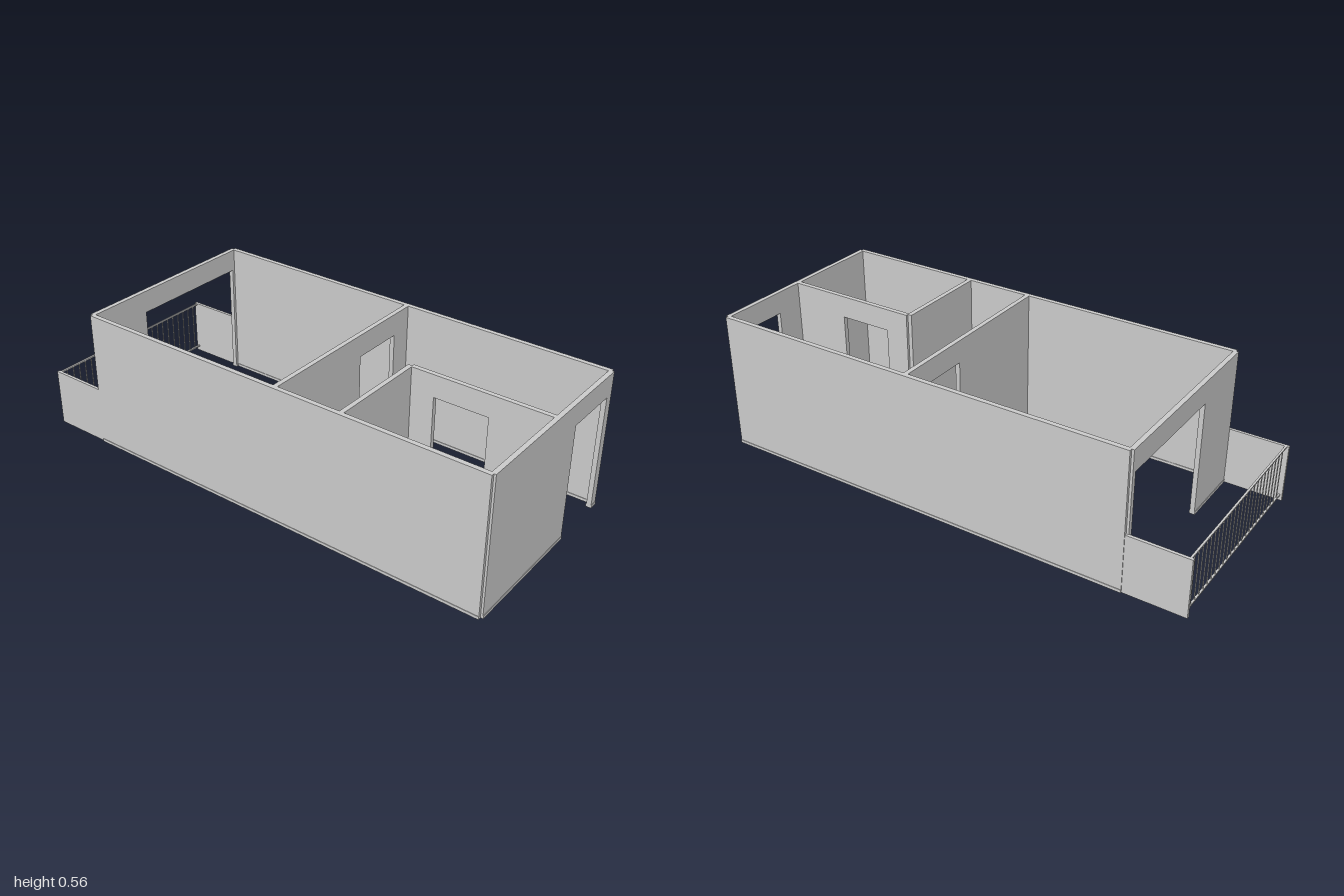
import * as THREE from 'three';

const grey = new THREE.MeshStandardMaterial({ color: 0xcccccc, flatShading: true });
const HEIGHT = 0.56, BASE = 0.004, DOOR = 0.47, THICK = 0.019;

// Box given by its minimum and maximum corners
function box(name, x0, x1, y0, y1, z0, z1) {
  const mesh = new THREE.Mesh(new THREE.BoxGeometry(x1 - x0, y1 - y0, z1 - z0), grey);
  mesh.position.set((x0 + x1) / 2, (y0 + y1) / 2, (z0 + z1) / 2);
  mesh.name = name;
  return mesh;
}

// Wall along x or z between a and b, centred on c, with an optional doorway [from, to]
function wall(name, axis, a, b, c, door) {
  const group = new THREE.Group();
  group.name = name;
  const shape = new THREE.Shape();
  shape.moveTo(a, BASE);
  if (door) {
    shape.lineTo(door[0], BASE);
    shape.lineTo(door[0], DOOR);
    shape.lineTo(door[1], DOOR);
    shape.lineTo(door[1], BASE);
  }
  shape.lineTo(b, BASE);
  shape.lineTo(b, HEIGHT);
  shape.lineTo(a, HEIGHT);
  shape.closePath();
  const geometry = new THREE.ExtrudeGeometry(shape, { depth: THICK, bevelEnabled: false });
  geometry.translate(0, 0, -THICK / 2);
  const panel = new THREE.Mesh(geometry, grey);
  panel.name = 'wallPanel';
  group.add(panel);

  // Floor strip under each solid stretch, slightly wider than the wall
  const runs = door ? [[a, door[0]], [door[1], b]] : [[a, b]];
  const half = THICK / 2 + 0.002;
  for (const [from, to] of runs) group.add(box('floorStrip', from, to, 0, 0.012, -half, half));

  if (axis === 'z') {
    group.rotation.y = -Math.PI / 2; // local x runs along +z
    group.position.x = c;
  } else {
    group.position.z = c;
  }
  return group;
}

// Balcony: two low side walls and a barred railing
function balcony() {
  const group = new THREE.Group();
  group.name = 'balcony';
  for (const s of [-1, 1]) {
    const x = s * 0.405;
    group.add(box('balconySideWall', x - 0.006, x + 0.006, 0, 0.236, -1, -0.755));
  }
  const z = -0.988;
  for (const y of [0.023, 0.233]) {
    group.add(box('rail', -0.4, 0.4, y - 0.003, y + 0.003, z - 0.004, z + 0.004));
  }
  for (let i = 0; i < 24; i++) {
    const x = (i - 11.5) * 0.0322;
    group.add(box('railingBar', x - 0.0017, x + 0.0017, 0.023, 0.233, z - 0.0017, z + 0.0017));
  }
  return group;
}

export function createModel() {
  const model = new THREE.Group();
  model.name = 'apartment';
  // Outer walls
  model.add(wall('rightSideWall', 'z', -0.757, 0.988, -0.404));
  model.add(wall('leftSideWall', 'z', -0.757, 0.988, 0.404));
  model.add(wall('frontWall', 'x', -0.402, 0.402, 0.987, [0.135, 0.368]));
  model.add(wall('backWall', 'x', -0.402, 0.402, -0.757, [-0.135, 0.383]));
  // Inner walls
  model.add(wall('middleWall', 'x', -0.396, 0.396, 0.135, [0.085, 0.305]));
  model.add(wall('smallRoomBackWall', 'x', -0.396, 0.008, 0.415));
  model.add(wall('smallRoomSideWall', 'z', 0.422, 0.98, 0.009, [0.52, 0.74]));
  model.add(balcony());
  return model;
}
